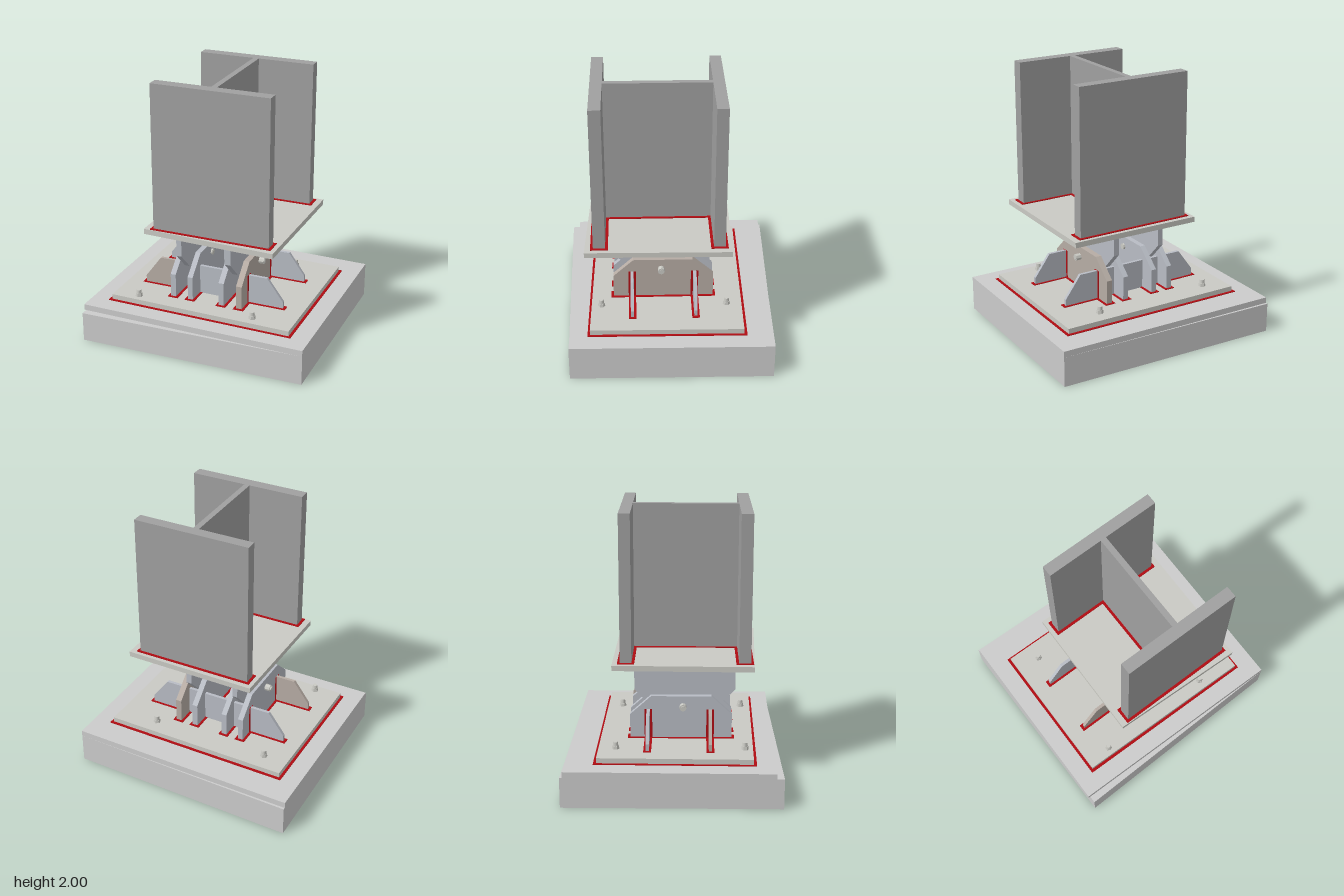
import * as THREE from 'three';

const mat = (color) => new THREE.MeshStandardMaterial({ color, flatShading: true });

export function createModel() {
  const group = new THREE.Group();
  const concrete = mat(0xcccccc), plate = mat(0xcacac4), steel = mat(0xa0a0a0);
  const cool = mat(0xb8bcc4), warm = mat(0xb6aca4), red = mat(0xb00c12);

  const add = (name, geometry, material, x = 0, y = 0, z = 0) => {
    const mesh = new THREE.Mesh(geometry, material);
    mesh.name = name;
    mesh.position.set(x, y, z);
    group.add(mesh);
    return mesh;
  };
  const extrude = (points, depth) => new THREE.ExtrudeGeometry(
    new THREE.Shape(points.map(([a, b]) => new THREE.Vector2(a, b))),
    { depth, bevelEnabled: false });

  // Upright prism from a plan outline of [x, z] corners
  const prism = (name, plan, y0, y1, material) => add(name,
    extrude(plan.map(([x, z]) => [x, -z]), y1 - y0).rotateX(-Math.PI / 2), material, 0, y0);
  // Plate facing sideways, from a [z, y] outline
  const sidePlate = (name, outline, x0, x1, material) => add(name,
    extrude(outline.map(([z, y]) => [-z, y]), x1 - x0).rotateY(Math.PI / 2), material, x0);
  // Thin weld bead, as a box between two corners
  const bead = (name, x0, x1, y0, y1, z0, z1) => add(name,
    new THREE.BoxGeometry(x1 - x0, y1 - y0, z1 - z0), red,
    (x0 + x1) / 2, (y0 + y1) / 2, (z0 + z1) / 2);

  // Foundation: block with a slightly twisted grout layer on top
  prism('foundationBlock', [[-0.86, -0.79], [0.87, -0.737], [0.855, 0.75], [-0.86, 0.785]], 0, 0.225, concrete);
  prism('groutLayer', [[-0.86, -0.772], [0.87, -0.737], [0.855, 0.75], [-0.874, 0.73]], 0.225, 0.27, concrete);

  // Base plate and the weld around it
  prism('basePlateWeld', [[-0.725, -0.565], [0.733, -0.547], [0.718, 0.618], [-0.738, 0.597]], 0.27, 0.274, red);
  prism('basePlate', [[-0.705, -0.543], [0.712, -0.525], [0.698, 0.6], [-0.718, 0.575]], 0.27, 0.312, plate);

  // Anchor bolts: nut with a tapered stud end
  for (const x of [-0.52, 0.39]) for (const z of [-0.415, 0.52]) {
    add('anchorNut', new THREE.CylinderGeometry(0.024, 0.027, 0.025, 6), plate, x, 0.324, z);
    add('anchorStud', new THREE.CylinderGeometry(0.017, 0.02, 0.03, 12), plate, x, 0.35, z);
  }

  // Four lower lugs in two pairs, welded to the base plate
  const lowerOutline = [[0.43, 0.31], [-0.32, 0.31], [-0.32, 0.495], [-0.165, 0.635], [0.28, 0.635], [0.43, 0.495]];
  const lugs = [[-0.298, -0.257], [-0.16, -0.12], [0.088, 0.13], [0.227, 0.272]];
  lugs.forEach(([x0, x1], i) => {
    sidePlate('lowerLug', lowerOutline, x0, x1, i === 3 ? warm : cool);
    bead('lowerLugWeld', x0 - 0.018, x1 + 0.018, 0.311, 0.316, -0.338, 0.448);
  });

  // Two upper lugs hanging between the lower pairs
  const upperOutline = [[0.455, 0.866], [-0.29, 0.866], [-0.29, 0.667], [-0.155, 0.525], [0.31, 0.525], [0.455, 0.667]];
  for (const [x0, x1] of [[-0.235, -0.195], [0.15, 0.193]]) {
    sidePlate('upperLug', upperOutline, x0, x1, cool);
  }

  // Hinge pins with a head on the outer side and a nut on the inner side
  const pinZ = 0.07, pinY = 0.557;
  const rod = (name, r, sides, x0, x1) => add(name,
    new THREE.CylinderGeometry(r, r, x1 - x0, sides).rotateZ(Math.PI / 2), plate, (x0 + x1) / 2, pinY, pinZ);
  for (const [x0, x1, side] of [[-0.35, -0.105, -1], [0.065, 0.315, 1]]) {
    rod('hingePin', 0.016, 16, x0, x1);
    const outer = side < 0 ? -0.317 : 0.29, inner = side < 0 ? -0.114 : 0.082;
    rod('pinHead', 0.026, 8, outer - 0.022, outer + 0.022);
    rod('pinNut', 0.024, 8, inner - 0.008, inner + 0.008);
  }

  // Stiffeners between and beside the lugs; the front row is slightly skewed
  const t = 0.024;
  const stiffener = (name, outline, z, material) =>
    add(name, extrude(outline, t), material, 0, 0, z - t / 2);
  const leftOutline = [[-0.575, 0.31], [-0.298, 0.31], [-0.298, 0.535], [-0.45, 0.535], [-0.575, 0.365]];
  const rightOutline = [[0.272, 0.31], [0.545, 0.31], [0.545, 0.365], [0.42, 0.535], [0.272, 0.535]];
  const span = (x0, x1) => [[x0, 0.31], [x1, 0.31], [x1, 0.535], [x0, 0.535]];
  for (const [zL, zR, front] of [[0.27, 0.289, true], [-0.185, -0.18, false]]) {
    stiffener('outerStiffener', leftOutline, zL, front ? warm : cool);
    stiffener('outerStiffener', rightOutline, zR, cool);
    stiffener('middleStiffener', span(-0.12, 0.088), (zL + zR) / 2, cool);
    if (!front) {
      stiffener('slotStiffener', span(-0.257, -0.16), zL, cool);
      stiffener('slotStiffener', span(0.13, 0.227), zR, cool);
    }
    // Welds along the foot and up the lug face
    const w = t / 2 + 0.016;
    bead('stiffenerWeld', -0.595, -0.298, 0.311, 0.316, zL - w, zL + w);
    bead('stiffenerWeld', 0.272, 0.565, 0.311, 0.316, zR - w, zR + w);
    bead('stiffenerSideWeld', -0.302, -0.297, 0.312, 0.535, zL - w, zL + w);
    bead('stiffenerSideWeld', 0.271, 0.276, 0.312, 0.535, zR - w, zR + w);
  }

  // Cap plate under the column
  prism('columnPlate', [[-0.413, -0.445], [0.594, -0.433], [0.578, 0.625], [-0.43, 0.585]], 0.865, 0.905, plate);

  // I-section column and its weld, the same outline grown by g
  const iSection = (g) => {
    const x0 = -0.363 - g, x1 = 0.526 + g, w0 = 0.06 - g, w1 = 0.103 + g;
    const z0 = -0.387 - g, z1 = -0.303 + g, z2 = 0.475 - g, z3 = 0.562 + g;
    return [[x0, z0], [x1, z0], [x1, z1], [w1, z1], [w1, z2], [x1, z2],
      [x1, z3], [x0, z3], [x0, z2], [w0, z2], [w0, z1], [x0, z1]];
  };
  prism('columnWeld', iSection(0.02), 0.904, 0.91, red);
  prism('column', iSection(0), 0.905, 2, steel);

  return group;
}
